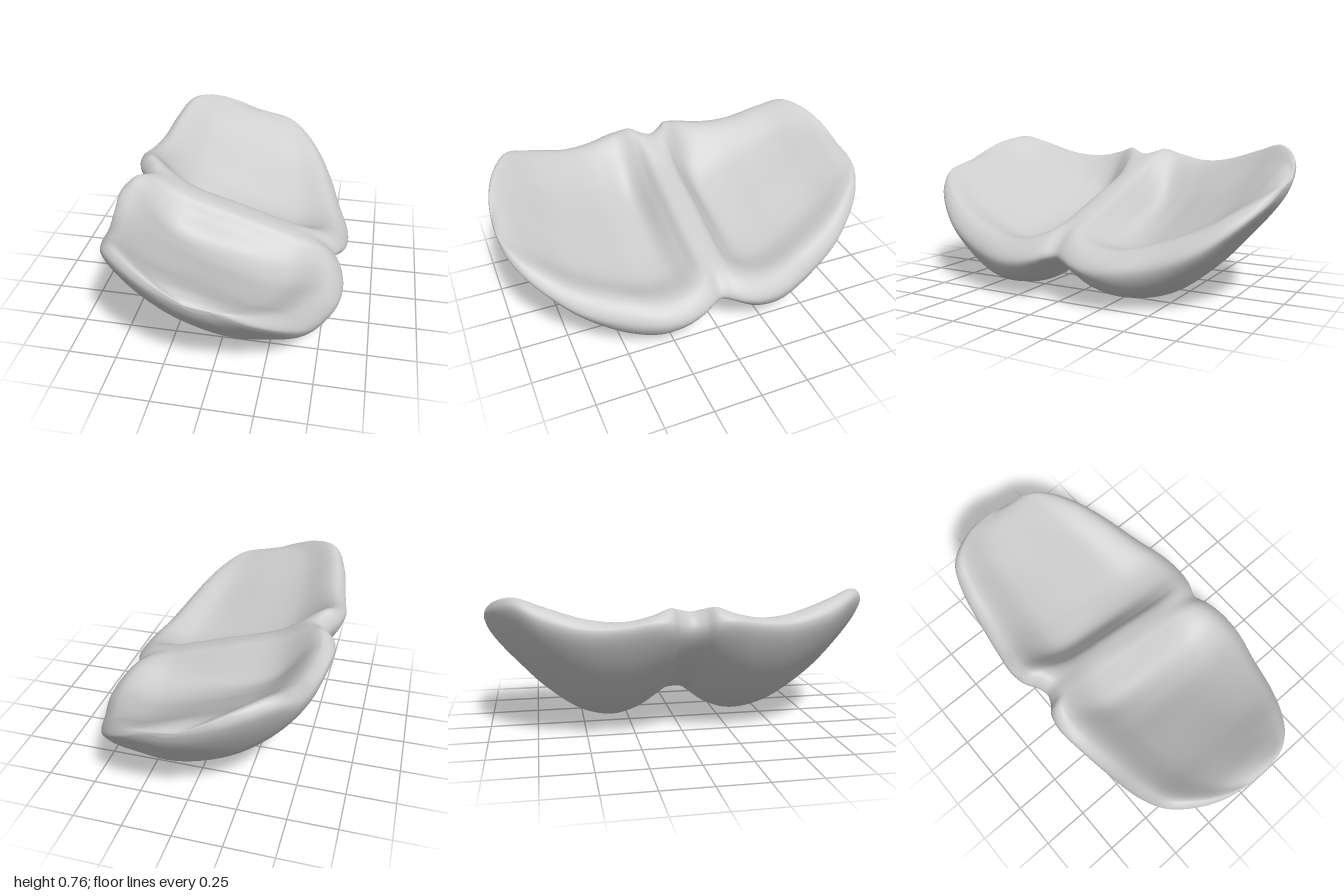
import * as THREE from 'three';

// Half of the body, from the middle groove (z = 0) to the tip (z = 1):
// [z, back x, front x, then y of: back tip, back rim, inner back, dish, inner front, front rim, front tip, underside]
const stations = [
  [0, -0.53, 0.535, 0.6, 0.67, 0.575, 0.485, 0.4, 0.325, 0.24, 0.15],
  [0.06, -0.55, 0.56, 0.61, 0.685, 0.565, 0.475, 0.385, 0.325, 0.23, 0.14],
  [0.11, -0.585, 0.58, 0.63, 0.7, 0.52, 0.425, 0.34, 0.315, 0.215, 0.105],
  [0.2, -0.6, 0.595, 0.64, 0.67, 0.435, 0.335, 0.28, 0.295, 0.2, 0.04],
  [0.33, -0.585, 0.585, 0.62, 0.642, 0.455, 0.335, 0.268, 0.29, 0.2, 0],
  [0.5, -0.56, 0.53, 0.61, 0.655, 0.52, 0.405, 0.32, 0.325, 0.225, 0.04],
  [0.7, -0.525, 0.455, 0.655, 0.715, 0.6, 0.505, 0.415, 0.4, 0.3, 0.19],
  [0.83, -0.465, 0.375, 0.715, 0.755, 0.66, 0.58, 0.505, 0.475, 0.39, 0.33],
  [0.92, -0.35, 0.29, 0.7, 0.73, 0.67, 0.62, 0.565, 0.53, 0.47, 0.435],
  [0.97, -0.235, 0.21, 0.665, 0.685, 0.65, 0.622, 0.592, 0.567, 0.525, 0.505],
  [0.99, -0.15, 0.15, 0.638, 0.65, 0.63, 0.613, 0.597, 0.582, 0.56, 0.545],
  [1, -0.07, 0.075, 0.61, 0.615, 0.61, 0.605, 0.6, 0.595, 0.587, 0.58],
];

const LOOP = 96, RINGS = 176;

// Closed cross-section: over the dished top from back to front, then underneath
function section([z, xl, xr, backTip, backRim, innerBack, dish, innerFront, frontRim, frontTip, under], side) {
  const mix = THREE.MathUtils.lerp;
  const points = [
    [0, backTip],
    [0.06, backRim],
    [0.25, innerBack],
    [0.5, dish],
    [0.75, innerFront],
    [0.93, frontRim],
    [1, frontTip],
    [0.95, mix(under, frontTip, 0.48)],
    [0.81, mix(under, frontTip, 0.15)],
    [0.62, under],
    [0.33, mix(under, backTip, 0.21)],
    [0.08, mix(under, backTip, 0.67)],
  ].map(([f, y]) => new THREE.Vector3(mix(xl, xr, f), y, z * side));
  const curve = new THREE.CatmullRomCurve3(points, true);
  return Array.from({ length: LOOP }, (_, j) => curve.getPoint(j / LOOP));
}

function bodyGeometry() {
  const sections = [
    ...stations.slice(1).reverse().map((s) => section(s, -1)),
    ...stations.map((s) => section(s, 1)),
  ];
  // Smooth lengthwise curves through matching points of the sections
  const rails = Array.from({ length: LOOP }, (_, j) =>
    new THREE.CatmullRomCurve3(sections.map((s) => s[j])));

  const positions = [], index = [];
  for (let i = 0; i <= RINGS; i++)
    for (const rail of rails) positions.push(...rail.getPoint(i / RINGS).toArray());

  for (let i = 0; i < RINGS; i++) {
    for (let j = 0; j < LOOP; j++) {
      const a = i * LOOP + j, b = i * LOOP + (j + 1) % LOOP;
      index.push(a, a + LOOP, b, b, a + LOOP, b + LOOP);
    }
  }

  // Small closing caps at both tips
  const first = positions.length / 3;
  positions.push(0, 0.597, -1, 0, 0.597, 1);
  for (let j = 0; j < LOOP; j++) {
    const k = (j + 1) % LOOP, end = RINGS * LOOP;
    index.push(first, j, k, first + 1, end + k, end + j);
  }

  const geometry = new THREE.BufferGeometry();
  geometry.setAttribute('position', new THREE.Float32BufferAttribute(positions, 3));
  geometry.setIndex(index);
  geometry.computeVertexNormals();
  return geometry;
}

export function createModel() {
  const group = new THREE.Group();
  const body = new THREE.Mesh(bodyGeometry(), new THREE.MeshStandardMaterial({ color: 0xcccccc }));
  body.name = 'twoLobedCushion';
  group.add(body);
  return group;
}
